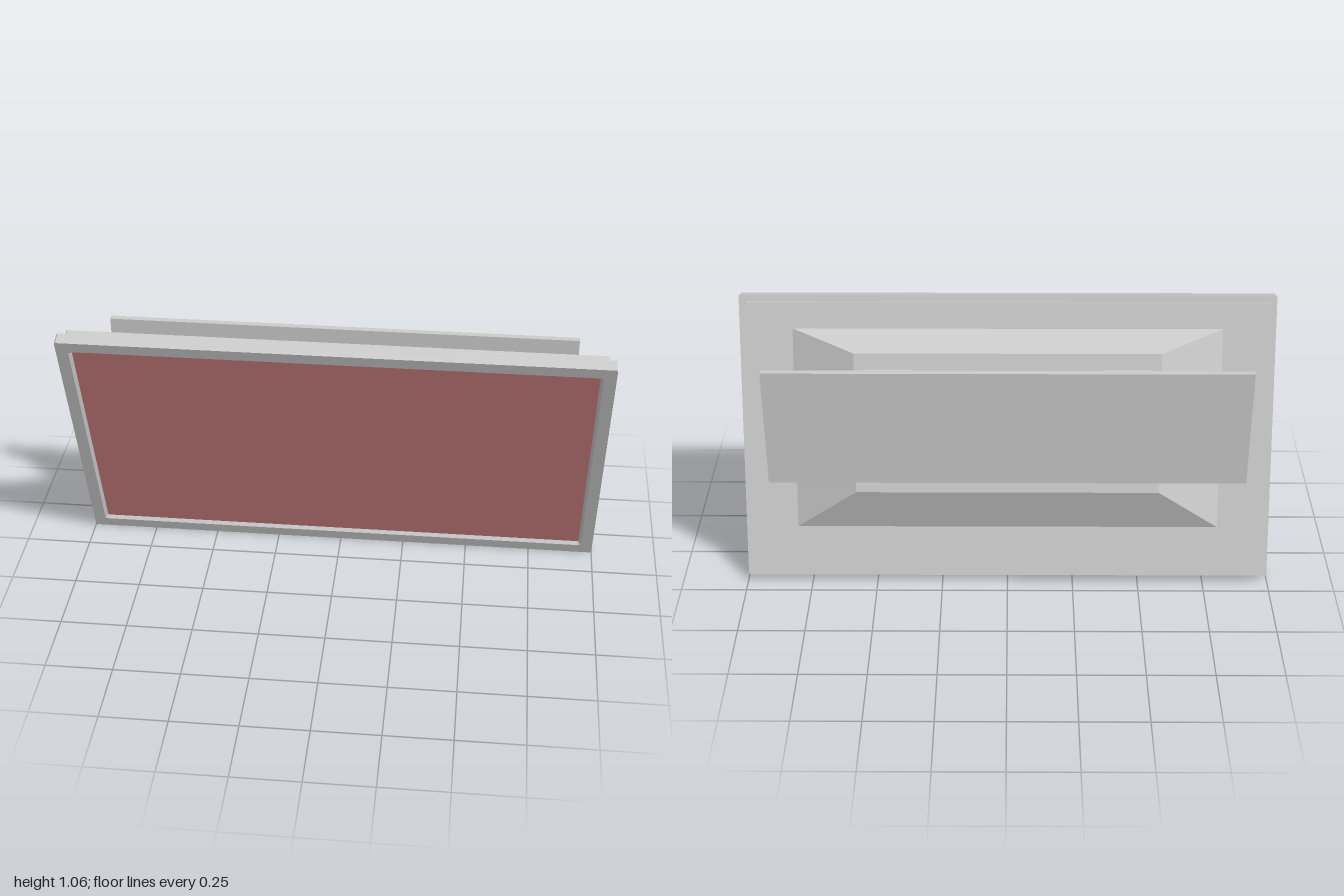
import * as THREE from 'three';

const grey = new THREE.MeshStandardMaterial({ color: 0xcccccc, flatShading: true });
const red = new THREE.MeshStandardMaterial({ color: 0xcc8080 });

function part(name, geometry, material = grey) {
  const mesh = new THREE.Mesh(geometry, material);
  mesh.name = name;
  return mesh;
}

// Rectangle outline, counter-clockwise from the front, with corners cut by c
function ring([hx, y0, y1, z], c) {
  const pts = c
    ? [[hx - c, y0], [hx, y0 + c], [hx, y1 - c], [hx - c, y1], [c - hx, y1], [-hx, y1 - c], [-hx, y0 + c], [c - hx, y0]]
    : [[hx, y0], [hx, y1], [-hx, y1], [-hx, y0]];
  return pts.map(([x, y]) => [x, y, z]);
}

// Skin through rectangular sections [halfWidth, bottom, top, z], back to front
function loft(sections, c = 0, capFront = true) {
  const rings = sections.map((s) => ring(s, c));
  const n = rings[0].length;
  const pos = [];
  const tri = (...corners) => corners.forEach((p) => pos.push(...p));
  for (let i = 0; i < rings.length - 1; i++) {
    for (let j = 0; j < n; j++) {
      const k = (j + 1) % n;
      tri(rings[i][j], rings[i][k], rings[i + 1][k]);
      tri(rings[i][j], rings[i + 1][k], rings[i + 1][j]);
    }
  }
  const back = rings[0];
  const front = rings[rings.length - 1];
  for (let j = 1; j < n - 1; j++) {
    tri(back[0], back[j + 1], back[j]);
    if (capFront) tri(front[0], front[j], front[j + 1]);
  }
  const g = new THREE.BufferGeometry();
  g.setAttribute('position', new THREE.Float32BufferAttribute(pos, 3));
  g.computeVertexNormals();
  return g;
}

// Side profile of [z, y] points, extruded across x and centred on it
function sideExtrude(points, width) {
  const shape = new THREE.Shape(points.map(([z, y]) => new THREE.Vector2(z, y)));
  const g = new THREE.ExtrudeGeometry(shape, { depth: width, bevelEnabled: false });
  return g.translate(0, 0, -width / 2).rotateY(-Math.PI / 2);
}

export function createModel() {
  const model = new THREE.Group();
  model.name = 'wallMountedDisplay';

  // Display, leaning forward about its lower front edge
  const display = new THREE.Group();
  display.name = 'display';
  display.position.set(0, 0, -0.125);
  display.rotation.x = 0.309;
  model.add(display);

  // Bezel with a sloped inner lip
  display.add(part('bezel', loft([
    [1, 0, 1.094, -0.047],
    [1, 0, 1.094, 0],
    [0.955, 0.045, 1.049, 0],
    [0.945, 0.055, 1.039, -0.012],
  ], 0.005, false)));

  // Screen
  const screen = part('screen', new THREE.PlaneGeometry(1.89, 0.984), red);
  screen.position.set(0, 0.547, -0.012);
  display.add(screen);

  // Rear shell and its tapered housing
  display.add(part('rearShell', loft([
    [0.975, 0.022, 1.069, -0.088],
    [0.975, 0.022, 1.069, -0.046],
  ], 0.005)));
  display.add(part('rearHousing', loft([
    [0.565, 0.372, 0.9, -0.187],
    [0.8, 0.207, 0.975, -0.087],
  ])));

  // Wall plate with a shallow channel along its front
  model.add(part('wallPlate', sideExtrude([
    [-0.207, 0.465], [-0.183, 0.465], [-0.183, 0.675], [-0.197, 0.697],
    [-0.197, 0.815], [-0.183, 0.837], [-0.183, 0.93], [-0.207, 0.93],
  ], 1.77)));

  // Pair of wedge brackets joining the housing to the plate
  for (const side of [-1, 1]) {
    const bracket = part(side > 0 ? 'leftBracket' : 'rightBracket', sideExtrude([
      [-0.198, 0.54], [-0.14, 0.54], [-0.04, 0.858], [-0.198, 0.858],
    ], 0.18));
    bracket.position.x = side * 0.44;
    model.add(bracket);
  }
  return model;
}
